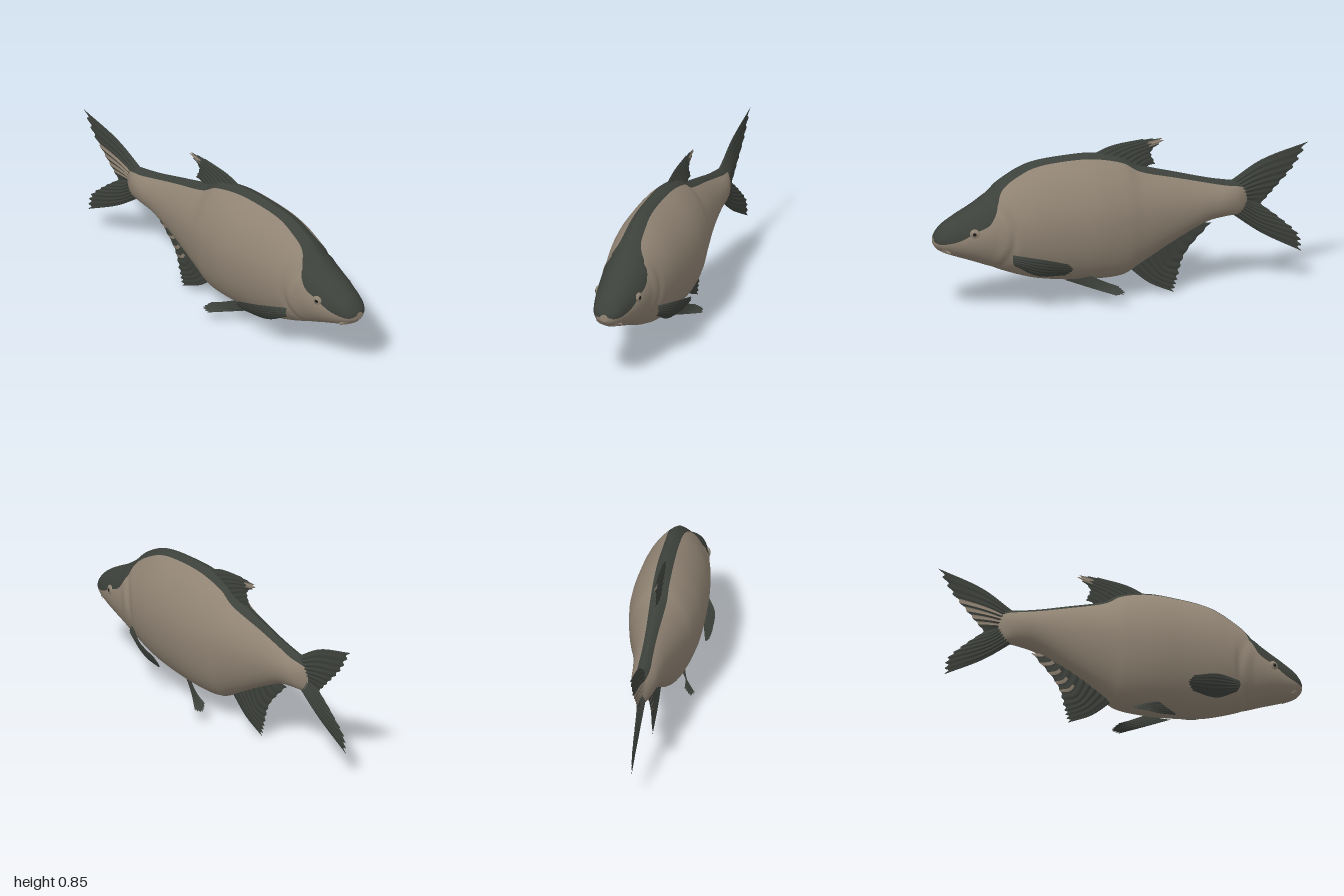
import * as THREE from 'three';

const V = (x, y, z) => new THREE.Vector3(x, y, z);

// body stations from snout to tail: z, top, bottom, half width, widest height, lower edge of the dark back
const STATIONS = [
  [1.0, .425, .385, .022, .405, .41],
  [.985, .45, .365, .052, .41, .402],
  [.95, .49, .34, .078, .415, .405],
  [.88, .535, .312, .102, .42, .425],
  [.8, .58, .283, .122, .43, .47],
  [.73, .63, .255, .134, .44, .505],
  [.69, .667, .24, .139, .445, .57],
  [.65, .705, .222, .147, .45, .665],
  [.55, .765, .185, .167, .46, .735],
  [.45, .795, .157, .181, .47, .772],
  [.3, .808, .135, .19, .475, .787],
  [.15, .808, .125, .19, .475, .785],
  [0, .775, .132, .168, .475, .75],
  [-.1, .718, .185, .142, .475, .692],
  [-.3, .66, .3, .096, .48, .637],
  [-.45, .618, .375, .076, .49, .597],
  [-.55, .596, .395, .066, .495, .573],
  [-.62, .585, .4, .045, .495, .56],
  [-.67, .565, .42, .012, .495, .54],
];

// smooth station at t in 0..1
function stationAt(t) {
  const n = STATIONS.length - 1;
  const f = t * n, i = Math.min(Math.floor(f), n - 1), u = f - i;
  const at = (j) => STATIONS[Math.max(0, Math.min(n, j))];
  return STATIONS[0].map((_, c) => {
    const a = at(i - 1)[c], b = at(i)[c], d = at(i + 1)[c], e = at(i + 2)[c];
    return b + .5 * u * (d - a + u * (2 * a - 5 * b + 4 * d - e + u * (3 * (b - d) + e - a)));
  });
}

// point on the left flank; angle runs from -90 degrees (belly) to 90 (back)
function flankPoint([z, top, bot, w, mid], a) {
  const s = Math.sin(a), c = Math.max(0, Math.cos(a));
  const y = mid + s * (s > 0 ? top - mid : mid - bot);
  const ridge = 1 + .5 * THREE.MathUtils.smoothstep(-z, -.85, -.55);
  let x = w * Math.pow(c, s > 0 ? ridge : 1);
  // gill cover: slightly raised plate with a groove behind its curved edge
  const d = z - (.615 + 2.6 * (y - .42) ** 2);
  x *= 1 - .07 * Math.exp(-(((d + .014) / .016) ** 2)) + .03 * Math.exp(-(((d - .03) / .03) ** 2));
  return V(x, y, z);
}

function angleAtHeight([, top, bot, , mid], y) {
  const s = (y - mid) / (y > mid ? top - mid : mid - bot);
  return Math.asin(THREE.MathUtils.clamp(s, -.99, .99));
}

function gridGeometry(positions, light, dark) {
  const g = new THREE.BufferGeometry();
  g.setAttribute('position', new THREE.Float32BufferAttribute(positions, 3));
  g.setIndex([...light, ...dark]);
  g.addGroup(0, light.length, 0);
  g.addGroup(light.length, dark.length, 1);
  g.computeVertexNormals();
  return g;
}

function bodyGeometry() {
  const RINGS = 150, N = 16, M = 7, T = N + M, L = 2 * T;
  const pos = [], light = [], dark = [];
  for (let i = 0; i <= RINGS; i++) {
    const st = stationAt(i / RINGS), aD = angleAtHeight(st, st[5]);
    for (let k = 0; k < L; k++) {
      const m = k <= T ? k : L - k;
      const a = m <= N ? THREE.MathUtils.lerp(-Math.PI / 2, aD, m / N)
        : THREE.MathUtils.lerp(aD, Math.PI / 2, (m - N) / M);
      const p = flankPoint(st, a);
      pos.push(k <= T ? p.x : -p.x, p.y, p.z);
    }
  }
  for (let i = 0; i < RINGS; i++) for (let k = 0; k < L; k++) {
    const k2 = (k + 1) % L, a = i * L + k, b = i * L + k2, c = a + L, d = b + L;
    (k >= N && k < L - N ? dark : light).push(a, c, b, b, c, d);
  }
  // snout and tail caps
  const front = pos.length / 3, back = front + 1;
  pos.push(0, .405, 1.0, 0, .495, -.675);
  for (let k = 0; k < L; k++) {
    const k2 = (k + 1) % L;
    light.push(front, k, k2);
    dark.push(back, RINGS * L + k2, RINGS * L + k);
  }
  return gridGeometry(pos, light, dark);
}

// closed, tapering fin lofted through rows of points from root to tip, with raised rays and a ragged edge
function finGeometry(rows, normal, thick, rays, jag, isLight = () => false) {
  const NU = rays * 6, NV = 12;
  const curves = rows.map((r) => new THREE.CatmullRomCurve3(r));
  const n = normal.clone().normalize();
  const pos = [], light = [], dark = [];
  const mids = [];
  for (let j = 0; j <= NU; j++) {
    const u = j / NU, wave = .5 - .5 * Math.cos(u * rays * 2 * Math.PI);
    const across = new THREE.CatmullRomCurve3(curves.map((c) => c.getPoint(u)));
    for (let i = 0; i <= NV; i++) {
      const v = i / NV;
      const p = across.getPoint(v * (1 - jag * wave));
      const h = thick * Math.sqrt(Math.max(0, Math.sin(Math.PI * u))) * Math.sqrt(1 - v) * (1 - .35 * v) * (1 - .3 * wave);
      mids.push(p);
      for (const s of [1, -1]) pos.push(...p.clone().addScaledVector(n, s * h).toArray());
    }
  }
  // winding follows the direction of the sheet
  const W = NV + 1, c0 = (NU >> 1) * W + (NV >> 1);
  const du = mids[c0 + W].clone().sub(mids[c0 - W]), dv = mids[c0 + 1].clone().sub(mids[c0 - 1]);
  const same = du.cross(dv).dot(n) > 0;
  for (let j = 0; j < NU; j++) for (let i = 0; i < NV; i++) for (const s of [0, 1]) {
    const a = 2 * (j * W + i) + s, b = a + 2, c = a + 2 * W, d = c + 2;
    const list = isLight((j + .5) / NU, (i + .5) / NV, s) ? light : dark;
    if (same === (s === 0)) list.push(a, c, b, b, c, d);
    else list.push(a, b, c, b, d, c);
  }
  return gridGeometry(pos, light, dark);
}

const midline = (rows) => rows.map((r) => r.map(([z, y]) => V(0, y, z)));

export function createModel() {
  const scale = new THREE.MeshStandardMaterial({ color: 0x918474 });
  scale.name = 'pale scales';
  const back = new THREE.MeshStandardMaterial({ color: 0x3d413b });
  back.name = 'dark back';
  const pupil = new THREE.MeshStandardMaterial({ color: 0x1c1d1a });
  pupil.name = 'pupil';
  const skin = [scale, back];

  const model = new THREE.Group();
  model.name = 'fish';
  const add = (name, geo, mat) => {
    const m = new THREE.Mesh(geo, mat);
    m.name = name;
    model.add(m);
    return m;
  };

  add('body', bodyGeometry(), skin);

  // fins on the midline, points as [z, y]
  const X = V(1, 0, 0);
  add('dorsalFin', finGeometry(midline([
    [[.17, .79], [.02, .74], [-.12, .685]],
    [[.05, .836], [-.07, .785], [-.15, .71]],
    [[-.12, .857], [-.235, .845], [-.165, .785], [-.185, .715]],
  ]), X, .018, 8, .06, (u, v) => v > .8 && u > .25 && u < .45), skin);
  add('analFin', finGeometry(midline([
    [[-.03, .175], [-.2, .26], [-.38, .385]],
    [[-.15, .07], [-.25, .16], [-.42, .375]],
    [[-.285, .004], [-.305, .08], [-.345, .21], [-.485, .365]],
  ]), X, .022, 10, .07, (u, v, s) => s === 1 && v > .3 && u > .5 && (u * 10) % 1 > .7), skin);
  add('upperTailLobe', finGeometry(midline([
    [[-.59, .588], [-.62, .53], [-.64, .47]],
    [[-.75, .685], [-.73, .56], [-.69, .455]],
    [[-1.0, .76], [-.93, .64], [-.83, .53], [-.745, .44]],
  ]), X, .024, 8, .05, (u, v, s) => s === 1 && v > .15 && u > .42 && u < .85 && (u * 8) % 1 > .25), skin);
  add('lowerTailLobe', finGeometry(midline([
    [[-.59, .405], [-.62, .46], [-.64, .52]],
    [[-.75, .285], [-.73, .38], [-.69, .475]],
    [[-.965, .165], [-.955, .25], [-.86, .35], [-.745, .445]],
  ]), X, .024, 8, .05), skin);

  for (const s of [1, -1]) {
    const side = s > 0 ? 'left' : 'right';
    const paired = (rows) => rows.map((r) => r.map(([x, y, z]) => V(s * x, y, z)));

    add(side + 'PectoralFin', finGeometry(paired([
      [[.138, .335, .61], [.135, .31, .61], [.125, .275, .6]],
      [[.205, .32, .46], [.185, .27, .46], [.145, .213, .48]],
      [[.212, .285, .33], [.2, .25, .305], [.175, .215, .335]],
    ]), V(s * .84, -.55, .2), .013, 6, .03), skin);
    add(side + 'PelvicFin', finGeometry(paired([
      [[.03, .135, .3], [.055, .15, .25], [.085, .17, .19]],
      [[.09, .1, .18], [.1, .115, .15], [.11, .135, .11]],
      [[.165, .072, .06], [.15, .078, .015], [.115, .105, .04]],
    ]), V(s * .5, .85, 0), .011, 6, .04), skin);

    // eye set into the cheek
    const st = stationAt(3.9 / (STATIONS.length - 1));
    const p = flankPoint(st, angleAtHeight(st, .462));
    const eye = new THREE.Group();
    eye.name = side + 'Eye';
    eye.position.set(s * (p.x - .004), p.y, p.z);
    eye.rotation.y = s * (Math.PI / 2 - .25);
    for (const [name, r, depth, mat] of [['eyeball', .026, .45, scale], ['pupil', .016, .85, pupil]]) {
      const m = new THREE.Mesh(new THREE.SphereGeometry(r, 24, 16), mat);
      m.name = name;
      m.scale.z = depth;
      eye.add(m);
    }
    model.add(eye);
  }

  // lips
  const lip = (name, y, drop, z, r) => add(name, new THREE.TubeGeometry(new THREE.CatmullRomCurve3(
    [-1, -.6, 0, .6, 1].map((t) => V(t * .06, y - drop * t * t, z - .055 * t * t))), 32, r, 10), scale);
  lip('upperLip', .388, .03, .986, .011);
  lip('lowerLip', .366, .016, .974, .01);

  return model;
}
